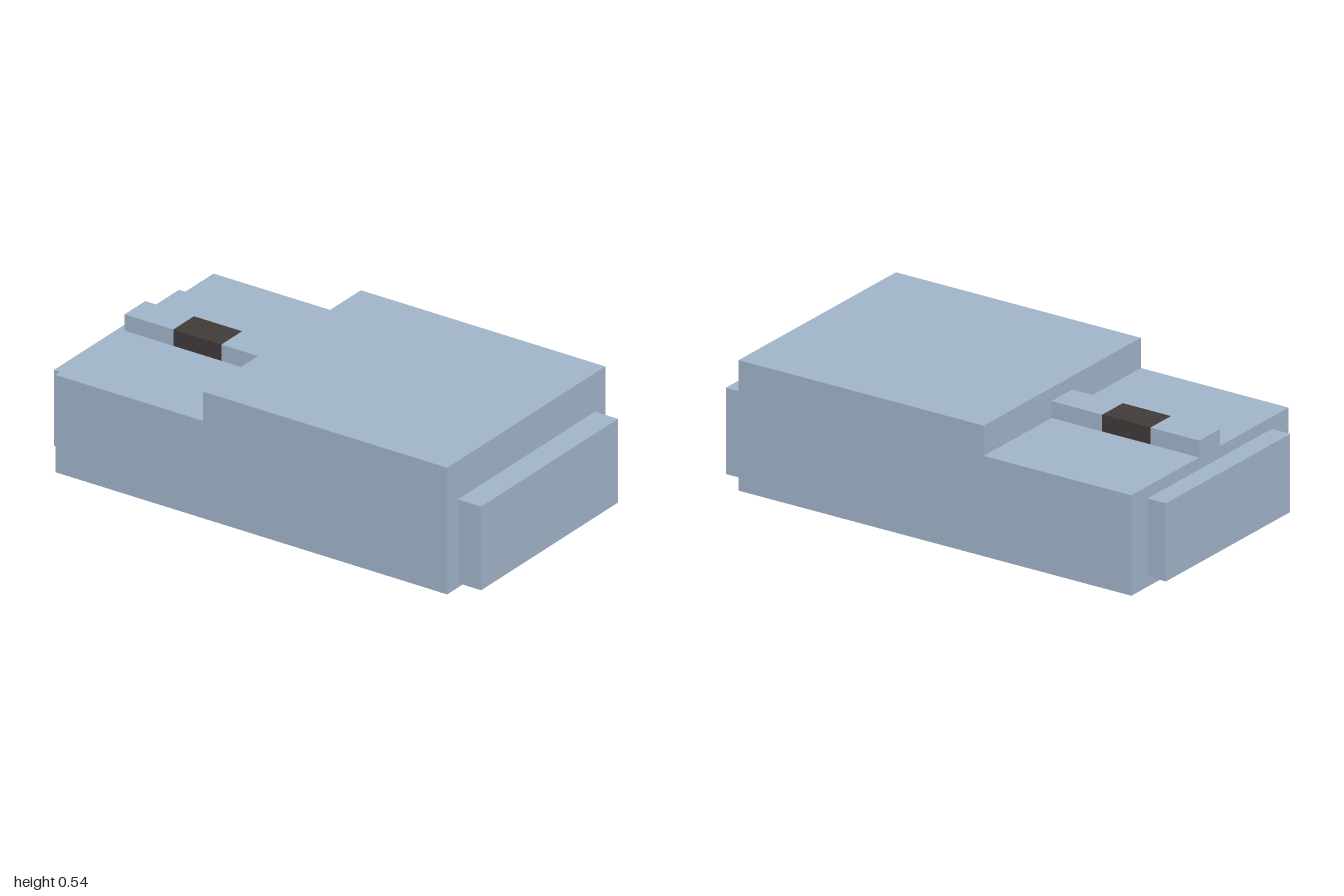
import * as THREE from 'three';

export function createModel() {
  const group = new THREE.Group();
  const blueGrey = new THREE.MeshStandardMaterial({ color: 0x9fb3c8 });
  blueGrey.name = 'blueGrey';
  const charcoal = new THREE.MeshStandardMaterial({ color: 0x403a38 });
  charcoal.name = 'charcoal';

  // Box given by its limits on each axis
  function block(name, [x0, x1], [y0, y1], [z0, z1], material) {
    const mesh = new THREE.Mesh(new THREE.BoxGeometry(x1 - x0, y1 - y0, z1 - z0), material);
    mesh.position.set((x0 + x1) / 2, (y0 + y1) / 2, (z0 + z1) / 2);
    mesh.name = name;
    group.add(mesh);
  }

  // Stepped main body, extruded front to back
  const left = 0.893, right = -0.915, step = -0.235, low = 0.412, high = 0.536, depth = 1.046;
  const profile = new THREE.Shape([
    [right, 0], [left, 0], [left, high], [step, high], [step, low], [right, low],
  ].map(([x, y]) => new THREE.Vector2(x, y)));
  const bodyGeometry = new THREE.ExtrudeGeometry(profile, { depth, bevelEnabled: false });
  bodyGeometry.translate(0, 0, -depth / 2);
  const body = new THREE.Mesh(bodyGeometry, blueGrey);
  body.name = 'body';
  group.add(body);

  // Raised rib on the low deck, with a dark middle section
  const ribY = [low, 0.481], ribZ = [-0.071, 0.066];
  block('ribOuter', [right, -0.69], ribY, ribZ, blueGrey);
  block('ribGrip', [-0.69, -0.468], ribY, ribZ, charcoal);
  block('ribInner', [-0.468, step], ribY, ribZ, blueGrey);

  // End plates
  block('leftEndPlate', [left, 1], [0.019, 0.373], [-0.454, 0.452], blueGrey);
  block('rightEndPlate', [-1, right], [0.042, 0.363], [-0.416, 0.411], blueGrey);

  return group;
}
